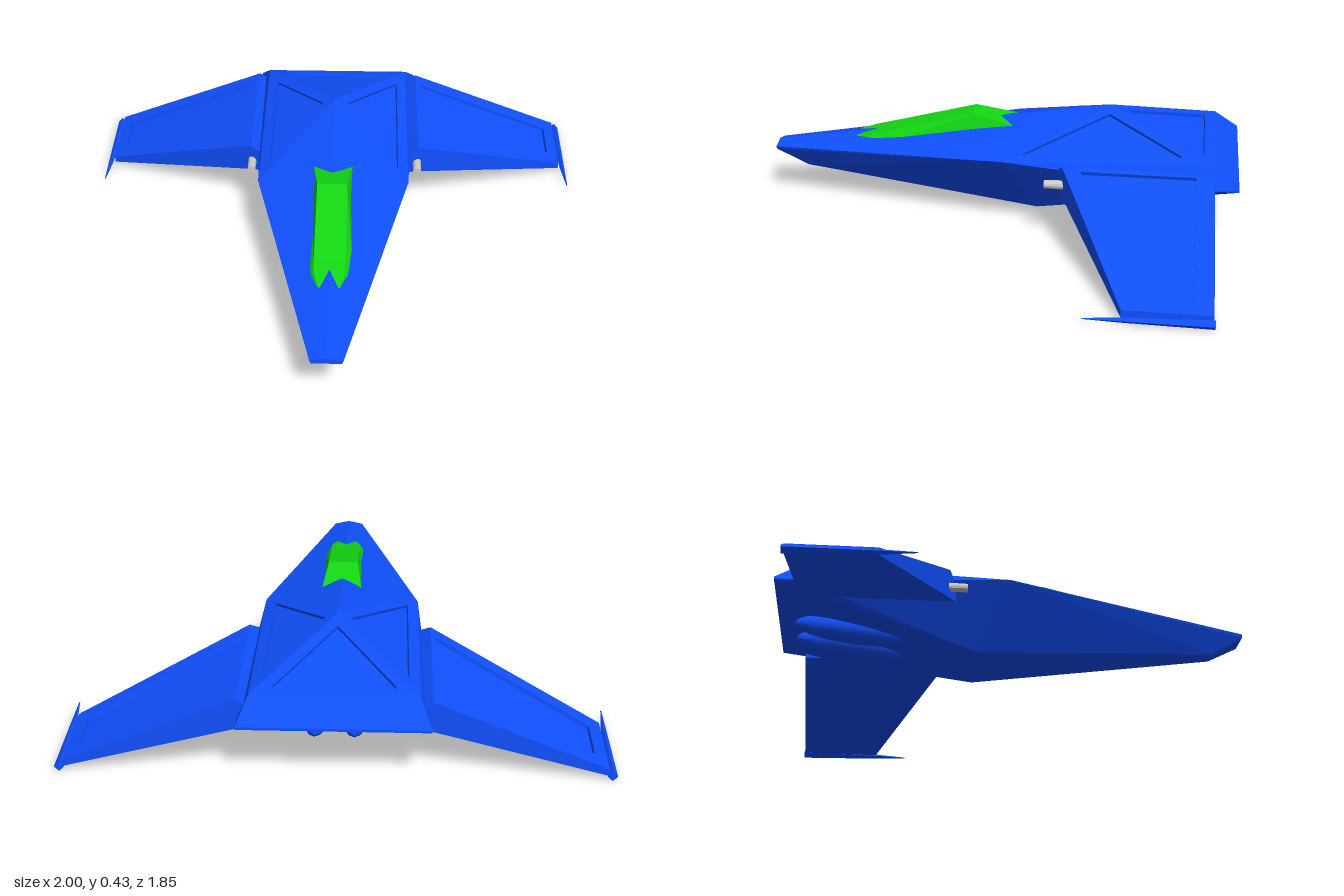
import * as THREE from 'three';

const BLUE = 0x1050ff, GREEN = 0x14d814, GREY = 0xcccccc;
const V = (p) => new THREE.Vector3(...p);
const flip = (p) => [-p[0], p[1], p[2]];
const material = (color) => new THREE.MeshStandardMaterial({ color, flatShading: true });

// Turns flat faces into a mesh; every face is wound to look away from the centre.
// A face is a list of points, or { outer, inner: [x, z] list, depth } for a sunken panel.
function faceted(name, color, centre, faces) {
  const out = [];
  const add = (pts) => {
    for (let i = 1; i < pts.length - 1; i++) {
      for (const p of [pts[0], pts[i], pts[i + 1]]) out.push(p.x, p.y, p.z);
    }
  };
  for (const face of faces) {
    const pts = (face.outer || face).map(V);
    const normal = pts[1].clone().sub(pts[0]).cross(pts[2].clone().sub(pts[0])).normalize();
    const reverse = normal.dot(pts[0].clone().sub(V(centre))) < 0;
    if (reverse) { pts.reverse(); normal.negate(); }
    if (!face.outer) { add(pts); continue; }
    // project the panel outline onto the face, then sink it
    const rim = face.inner.map(([x, z]) => {
      const o = pts[0];
      return new THREE.Vector3(x, o.y - (normal.x * (x - o.x) + normal.z * (z - o.z)) / normal.y, z);
    });
    if (reverse) rim.reverse();
    const floor = rim.map((p) => p.clone().addScaledVector(normal, -face.depth));
    rim.forEach((p, i) => {
      const j = (i + 1) % rim.length;
      add([pts[i], pts[j], rim[j], p]);
      add([p, rim[j], floor[j], floor[i]]);
    });
    add(floor);
  }
  const geometry = new THREE.BufferGeometry();
  geometry.setAttribute('position', new THREE.Float32BufferAttribute(out, 3));
  geometry.computeVertexNormals();
  const mesh = new THREE.Mesh(geometry, material(color));
  mesh.name = name;
  return mesh;
}

const mirrorFace = (f) => (f.outer
  ? { outer: f.outer.map(flip), inner: f.inner.map(([x, z]) => [-x, z]), depth: f.depth }
  : f.map(flip));

// Joins cross-sections with the same number of points and caps both ends.
function loft(sections) {
  const faces = [sections[0], sections[sections.length - 1]];
  for (let s = 0; s < sections.length - 1; s++) {
    const a = sections[s], b = sections[s + 1];
    a.forEach((p, i) => {
      const j = (i + 1) % a.length;
      faces.push([p, a[j], b[j]], [p, b[j], b[i]]);
    });
  }
  return faces;
}

function hull() {
  const peak = [0, 0.432, -0.42], nose = [0, 0.22, 0.925];
  const noseTop = [0.06, 0.207, 0.925], noseLow = [0.055, 0.195, 0.925], chin = [0.035, 0.125, 0.8];
  const shoulder = [0.3, 0.287, -0.03], belly = [0.15, 0.045, -0.15];
  const rear = [0.3, 0.315, -0.83], lipTop = [0.34, 0.24, -0.925];
  const lipLow = [0.34, 0.23, -0.925], lipFront = [0.34, 0.23, -0.83];
  const side = [
    [peak, nose, noseTop], [peak, noseTop, shoulder],
    { outer: [peak, shoulder, rear], inner: [[0.05, -0.42], [0.26, -0.1], [0.26, -0.71]], depth: 0.012 },
    [noseTop, noseLow, shoulder], [noseLow, chin, shoulder], [chin, belly, shoulder],
    [shoulder, rear, lipFront], [shoulder, lipFront, belly],
    [rear, lipTop, lipFront], [lipFront, lipTop, lipLow], [belly, lipFront, lipLow],
  ];
  const across = (a, b) => [a, b, flip(b), flip(a)];
  const middle = [
    { outer: [peak, rear, flip(rear)], inner: [[0, -0.49], [0.22, -0.79], [-0.22, -0.79]], depth: 0.012 },
    across(rear, lipTop), across(lipTop, lipLow), across(belly, lipLow), across(chin, belly),
    across(noseLow, chin), [nose, noseTop, noseLow, flip(noseLow), flip(noseTop)],
  ];
  return faceted('hull', BLUE, [0, 0.22, -0.2], [...side, ...side.map(mirrorFace), ...middle]);
}

function canopy() {
  // z, half width and height of the top, half width and height of the base
  const rows = [
    [-0.07, 0.08, 0.347, 0.082, 0.3], [0.12, 0.058, 0.386, 0.08, 0.3], [0.48, 0.06, 0.293, 0.088, 0.25],
    [0.53, 0.058, 0.281, 0.084, 0.24], [0.59, 0.042, 0.266, 0.056, 0.235], [0.625, 0.018, 0.255, 0.022, 0.232],
  ];
  const sections = rows.map(([z, tw, ty, bw, by]) => [[-bw, by, z], [-tw, ty, z], [tw, ty, z], [bw, by, z]]);
  return faceted('canopy', GREEN, [0, 0.28, 0.25], loft(sections));
}

function wing(side) {
  const put = (faces) => (side > 0 ? faces : faces.map(mirrorFace));
  const group = new THREE.Group();
  group.name = side > 0 ? 'leftWing' : 'rightWing';

  // x, top, bottom, leading z, trailing z
  const rows = [[0.29, 0.265, 0.19, -0.24, -0.83], [0.345, 0.296, 0.178, -0.265, -0.832], [0.97, 0.045, 0.018, -0.53, -0.845]];
  const [root, edge, tip] = rows.map(([x, t, b, l, r]) => [[x, t, l], [x, t, r], [x, b, r], [x, b, l]]);
  const panel = {
    outer: [edge[0], edge[1], tip[1], tip[0]],
    inner: [[0.362, -0.335], [0.362, -0.765], [0.925, -0.772], [0.925, -0.585]],
    depth: 0.014,
  };
  const faces = [panel, [...root], [...tip]];
  for (const [a, b] of [[root, edge], [edge, tip]]) {
    for (let i = a === edge ? 1 : 0; i < 4; i++) {
      const j = (i + 1) % 4;
      faces.push([a[i], a[j], b[j], b[i]]);
    }
  }
  group.add(faceted('wingPanel', BLUE, [side * 0.6, 0.14, -0.6], put(faces)));

  // slim tip bar running out to a spike
  const bar = [[-0.85, 0.982, 0.018], [-0.53, 0.989, 0.01], [-0.4, 0.996, 0.002]].map(([z, x, r]) =>
    [[x + r, 0.018, z], [x, 0.018 + r, z], [x - r, 0.018, z], [x, 0.018 - r, z]]);
  group.add(faceted('wingTip', BLUE, [side * 0.986, 0.018, -0.65], put(loft(bar))));

  // gun at the wing root
  const gun = new THREE.Mesh(new THREE.CylinderGeometry(0.016, 0.019, 0.13, 12), material(GREY));
  gun.name = 'gun';
  gun.rotation.x = Math.PI / 2;
  gun.position.set(side * 0.341, 0.224, -0.262);
  group.add(gun);
  return group;
}

// rounded engine pod half sunk in the underside
function engine(side) {
  const pod = new THREE.Mesh(new THREE.SphereGeometry(1, 16, 10), new THREE.MeshStandardMaterial({ color: BLUE }));
  pod.name = 'enginePod';
  pod.scale.set(0.055, 0.055, 0.24);
  pod.rotation.x = 0.1;
  pod.position.set(side * 0.07, 0.155, -0.62);
  return pod;
}

export function createModel() {
  const model = new THREE.Group();
  model.name = 'spacecraft';
  model.add(hull(), canopy());
  for (const side of [1, -1]) model.add(wing(side), engine(side));
  return model;
}
